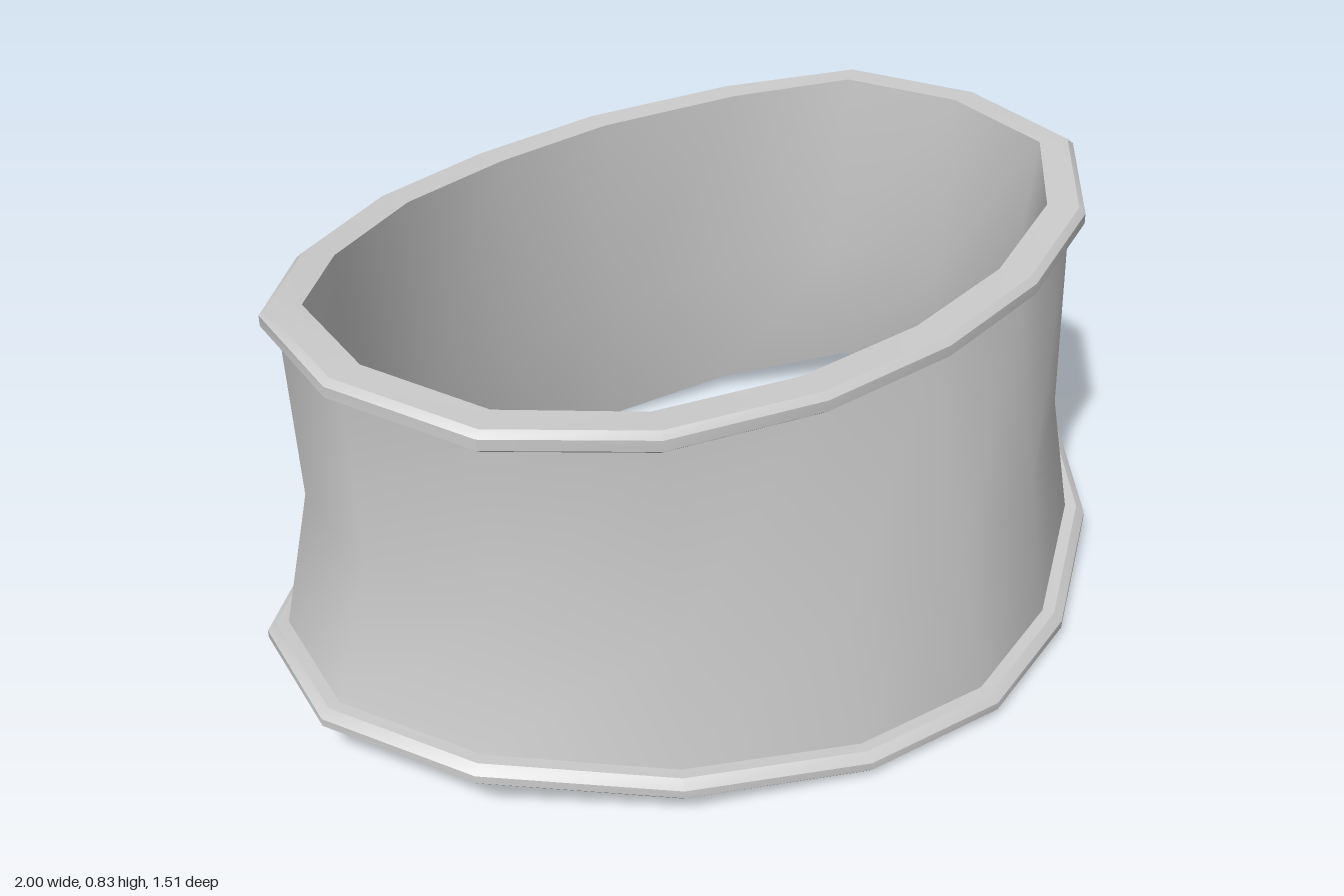
import * as THREE from 'three';
import { toCreasedNormals } from 'three/addons/utils/BufferGeometryUtils.js';

// Half outlines from the front centre, round the left side, to the back centre: [x, y, z]
const BOTTOM = [[0, 0.005, 0.755], [0.31, 0.005, 0.69], [0.64, 0.04, 0.515], [0.905, 0.08, 0.24], [1, 0.085, -0.09],
  [0.9, 0.08, -0.4], [0.63, 0.035, -0.62], [0.31, 0.01, -0.73], [0, 0.005, -0.76]];
const WAIST = [[0, 0.33, 0.65], [0.29, 0.33, 0.6], [0.58, 0.36, 0.45], [0.8, 0.41, 0.21], [0.88, 0.42, -0.07],
  [0.8, 0.41, -0.36], [0.57, 0.36, -0.56], [0.285, 0.33, -0.655], [0, 0.33, -0.68]];
const TOP = [[0, 0.79, 0.585], [0.31, 0.792, 0.555], [0.62, 0.805, 0.455], [0.86, 0.83, 0.255], [0.93, 0.835, -0.065],
  [0.85, 0.835, -0.365], [0.62, 0.805, -0.565], [0.31, 0.782, -0.705], [0, 0.775, -0.74]];

// Mirror a half outline into a full loop of 16 points
function fullLoop(half) {
  const mirrored = half.slice(1, -1).reverse().map(([x, y, z]) => [-x, y, z]);
  return [...half, ...mirrored].map((p) => new THREE.Vector3(...p));
}

// Move a loop inward by "inset" and up by "rise"
function offset(loop, inset, rise = 0) {
  const n = loop.length;
  return loop.map((p, i) => {
    const t = loop[(i + 1) % n].clone().sub(loop[(i + n - 1) % n]).setY(0).normalize();
    return new THREE.Vector3(p.x + t.z * inset, p.y + rise, p.z - t.x * inset);
  });
}

// Skin a series of loops
function loft(loops) {
  const n = loops[0].length;
  const positions = loops.flat().flatMap((p) => [p.x, p.y, p.z]);
  const index = [];
  for (let r = 0; r < loops.length - 1; r++) {
    for (let i = 0; i < n; i++) {
      const a = r * n + i, b = r * n + (i + 1) % n;
      index.push(a, b, b + n, a, b + n, a + n);
    }
  }
  const g = new THREE.BufferGeometry();
  g.setAttribute('position', new THREE.Float32BufferAttribute(positions, 3));
  g.setIndex(index);
  g.computeVertexNormals();
  return g;
}

export function createModel() {
  const group = new THREE.Group();
  const material = new THREE.MeshStandardMaterial({ color: 0xcccccc, side: THREE.DoubleSide });
  const add = (name, geometry) => {
    const mesh = new THREE.Mesh(geometry, material);
    mesh.name = name;
    group.add(mesh);
  };
  const bottom = fullLoop(BOTTOM), waist = fullLoop(WAIST), top = fullLoop(TOP);

  // Smooth band, narrowed at the waist
  add('outerWall', loft([offset(bottom, 0.042, 0.045), waist, offset(top, 0.032, -0.04)]));
  add('innerWall', loft([offset(top, 0.08), offset(waist, 0.05), offset(bottom, 0.09)]));

  // Bevelled rims: [inset, rise] profiles
  const rim = (loop, profile) => toCreasedNormals(loft(profile.map(([d, h]) => offset(loop, d, h))), 0.6);
  add('bottomRim', rim(bottom, [[0.09, 0], [0.02, 0], [0, 0.018], [0, 0.034], [0.018, 0.05], [0.05, 0.05]]));
  add('topRim', rim(top, [[0.045, -0.045], [0.016, -0.045], [0, -0.034], [0, -0.012], [0.014, 0], [0.08, 0]]));
  return group;
}
